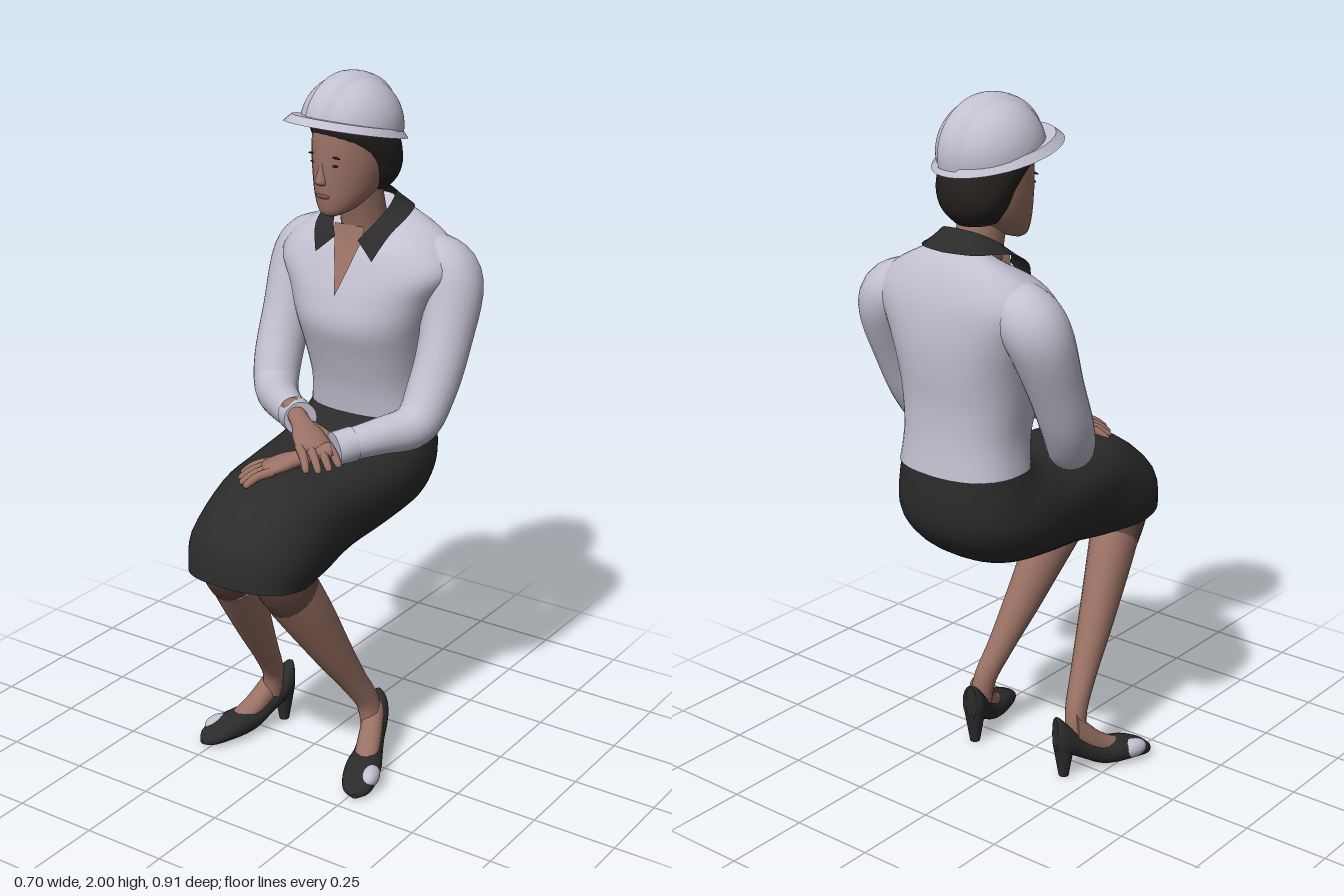
import * as THREE from 'three';

const mat = (name, color, side = THREE.FrontSide) => {
  const m = new THREE.MeshStandardMaterial({ color, side });
  m.name = name;
  return m;
};
const V = (x, y, z) => new THREE.Vector3(x, y, z);

// Catmull-Rom subdivision of rows of numbers
function smooth(rows, k) {
  const out = [], at = i => rows[Math.min(Math.max(i, 0), rows.length - 1)];
  for (let i = 0; i < rows.length - 1; i++)
    for (let j = 0; j < k; j++) {
      const t = j / k, a = at(i - 1), b = at(i), c = at(i + 1), d = at(i + 2);
      out.push(b.map((_, n) => b[n] + 0.5 * t * (c[n] - a[n] + t * (2 * a[n] - 5 * b[n] + 4 * c[n] - d[n]
        + t * (3 * (b[n] - c[n]) + d[n] - a[n])))));
    }
  out.push(rows[rows.length - 1]);
  return out;
}

// Skin a list of rings { c, u, v } (u x v points along the path) and cap both ends
function skinRings(rings, n, e = 1) {
  const pos = [], idx = [];
  const pw = a => Math.sign(a) * Math.abs(a) ** e;
  const addRing = r => {
    for (let j = 0; j < n; j++) {
      const a = j / n * Math.PI * 2;
      const p = r.c.clone().addScaledVector(r.u, pw(Math.cos(a))).addScaledVector(r.v, pw(Math.sin(a)));
      pos.push(p.x, p.y, p.z);
    }
  };
  rings.forEach(addRing);
  for (let i = 0; i < rings.length - 1; i++)
    for (let j = 0; j < n; j++) {
      const a = i * n + j, b = i * n + (j + 1) % n;
      idx.push(a, b, a + n, b, b + n, a + n);
    }
  for (const last of [false, true]) {
    const r = last ? rings[rings.length - 1] : rings[0], s = pos.length / 3;
    addRing(r);
    pos.push(r.c.x, r.c.y, r.c.z);
    for (let j = 0; j < n; j++) {
      const a = s + j, b = s + (j + 1) % n;
      idx.push(s + n, ...(last ? [a, b] : [b, a]));
    }
  }
  return finish(pos, idx);
}

function finish(pos, idx) {
  const g = new THREE.BufferGeometry();
  g.setAttribute('position', new THREE.Float32BufferAttribute(pos, 3));
  g.setIndex(idx);
  g.computeVertexNormals();
  return g;
}

// Rows [zBack, yBack, zFront, yFront, halfWidth], symmetric in x
const body = (rows, n = 28, e = 1, k = 4) => skinRings(smooth(rows, k).map(([za, ya, zb, yb, w]) => ({
  c: V(0, (ya + yb) / 2, (za + zb) / 2), u: V(0, (yb - ya) / 2, (zb - za) / 2), v: V(w, 0, 0),
})), n, e);

// Rows [x, y, z, sideRadius, upRadius] along a path
function limb(rows, n = 18, k = 5) {
  const pts = smooth(rows, k), p = pts.map(r => V(r[0], r[1], r[2]));
  let u;
  return skinRings(p.map((c, i) => {
    const t = p[Math.min(i + 1, p.length - 1)].clone().sub(p[Math.max(i - 1, 0)]).normalize();
    u = u || V(0, 1, 0).cross(t);
    u = u.clone().addScaledVector(t, -u.dot(t)).normalize();
    const a = pts[i][3], b = pts[i][4] ?? a;
    return { c, u: u.clone().multiplyScalar(a), v: t.clone().cross(u).multiplyScalar(b) };
  }), n);
}

// Open sheet between two rows of points
function strip(a, b) {
  const pos = [], idx = [];
  a.forEach((p, i) => {
    pos.push(...p, ...b[i]);
    const s = i * 2;
    if (i) idx.push(s - 2, s - 1, s, s - 1, s + 1, s);
  });
  return finish(pos, idx);
}

export function createModel() {
  const skin = mat('skin', 0x9a7164, THREE.DoubleSide), white = mat('pale cloth', 0xc3c0d0);
  const black = mat('black cloth', 0x2b2b2b, THREE.DoubleSide), hairMat = mat('hair', 0x25211f);
  const lipMat = mat('lips', 0x7d5048), kneeMat = mat('dark skin', 0x664a41);
  const model = new THREE.Group();
  const add = (parent, name, geo, m) => {
    const mesh = new THREE.Mesh(geo, m);
    mesh.name = name;
    parent.add(mesh);
    return mesh;
  };
  const group = (name, parent = model) => {
    const g = new THREE.Group();
    g.name = name;
    parent.add(g);
    return g;
  };
  const ball = (parent, name, m, p, s) => {
    const b = add(parent, name, new THREE.SphereGeometry(1, 20, 14), m);
    b.position.set(...p);
    b.scale.set(...s);
    return b;
  };

  // Clothes
  add(model, 'shirt', body([
    [-.45, 1.01, -.165, 1.01, .187], [-.44, 1.1, -.15, 1.1, .177], [-.438, 1.2, -.12, 1.2, .188],
    [-.447, 1.3, -.092, 1.29, .208], [-.448, 1.39, -.105, 1.37, .24], [-.436, 1.48, -.13, 1.44, .28],
    [-.412, 1.55, -.155, 1.5, .238], [-.382, 1.6, -.175, 1.53, .165], [-.35, 1.635, -.19, 1.535, .085],
  ], 40, .86), white);
  add(model, 'skirt', body([
    [.18, .66, .46, .705, .172], [.12, .655, .428, .83, .19], [0, .67, .27, .945, .195], [-.15, .69, .1, .967, .213],
    [-.3, .72, -.05, .98, .225], [-.4, .79, -.1, .99, .222], [-.448, .88, -.13, 1.0, .205], [-.447, 1.02, -.17, 1.02, .18],
  ], 36, .85), black);
  const vRows = [[0, 1.385, -.095], [.02, 1.45, -.126], [.035, 1.5, -.147], [.045, 1.535, -.163], [.05, 1.575, -.172]];
  add(model, 'openNeckline', strip(vRows.map(([x, y, z]) => [-x, y, z]), vRows), skin);
  const inner = smooth([[0, 1.665, -.335], [.06, 1.655, -.315], [.078, 1.62, -.25], [.065, 1.58, -.19], [.038, 1.54, -.155]], 4);
  const outer = smooth([[0, 1.61, -.387], [.09, 1.61, -.365], [.132, 1.603, -.28], [.124, 1.56, -.185], [.094, 1.49, -.14]], 4);
  for (const s of [-1, 1]) {
    const flip = rows => rows.map(([x, y, z]) => [s * x, y, z]);
    add(model, 'collar', strip(flip(inner), flip(outer)), black);
  }

  // Arms: shared upper arm, individual forearms
  const upper = [[.1, 1.47, -.3, .07], [.2, 1.463, -.312, .087], [.255, 1.41, -.31, .09],
    [.269, 1.26, -.255, .076], [.264, 1.13, -.195, .071]];
  const forearms = {
    right: [[-.23, 1.053, -.138, .064], [-.125, 1.055, -.033, .052], [-.015, 1.066, .055, .043]],
    left: [[.253, 1.046, -.125, .064], [.2, 1.032, -.02, .052], [.135, 1.018, .082, .043]],
  };
  const hands = {
    right: { p: [.012, 1.062, .085], yaw: 1.0, pitch: .38, thumb: 1 },
    left: { p: [.068, .995, .16], yaw: -.88, pitch: .24, thumb: -1 },
  };
  for (const side of ['right', 'left']) {
    const s = side === 'left' ? 1 : -1, fore = forearms[side];
    add(model, side + 'Sleeve', limb([...upper.map(([x, ...r]) => [s * x, ...r]), ...fore], 22), white);
    const end = V(...fore[2]), dir = end.clone().sub(V(...fore[1])).normalize();
    const near = end.clone().addScaledVector(dir, -.045), far = end.clone().addScaledVector(dir, .012);
    add(model, side + 'Cuff', limb([[...near.toArray(), .05], [...far.toArray(), .048]], 18, 1), white);

    // Hand points along local z with its back up
    const h = hands[side], hand = group(side + 'Hand');
    hand.position.set(...h.p);
    hand.rotation.set(h.pitch, h.yaw, 0, 'YXZ');
    add(hand, 'palm', limb([[0, .005, -.085, .027, .022], [0, .004, 0, .03, .022], [0, .004, .05, .046, .022],
      [0, 0, .1, .05, .017], [0, -.003, .112, .038, .01]]), skin);
    for (let i = 0; i < 4; i++) {
      const x = (i - 1.5) * .026, l = .088 - Math.abs(i - 1.4) * .009;
      add(hand, 'finger', limb([[x, 0, .085, .0135], [x * 1.12, 0, .1 + l * .4, .0125],
        [x * 1.25, -.014, .1 + l * .9, .01], [x * 1.27, -.018, .1 + l, .003]], 10, 4), skin);
    }
    add(hand, 'thumb', limb([[h.thumb * .025, -.003, .01, .017], [h.thumb * .055, -.006, .05, .014],
      [h.thumb * .067, -.012, .1, .009], [h.thumb * .068, -.014, .108, .003]], 10, 4), skin);
  }

  // Legs and shoes
  for (const s of [-1, 1]) {
    const side = s > 0 ? 'left' : 'right';
    const knee = [s * .099, .63, .252, .071, .084];
    add(model, side + 'Knee', limb([[s * .09, .78, .335, .073, .088], [s * .094, .69, .29, .074, .09], knee]), kneeMat);
    add(model, side + 'Leg', limb([knee, [s * .115, .54, .195, .063, .076],
      [s * .136, .4, .108, .05, .058], [s * .155, .28, .03, .038, .042], [s * .171, .19, -.025, .032, .036],
      [s * .18, .11, -.035, .03, .033]]), skin);
    const shoe = group(side + 'Shoe');
    shoe.position.set(s * .163, 0, -.095);
    shoe.rotation.y = s * .36;
    add(shoe, 'foot', body([[.215, .02, .215, .065, .03], [.15, .03, .15, .1, .035], [.1, .05, .1, .145, .034],
      [.05, .08, .05, .2, .03]], 18), skin);
    add(shoe, 'shoeUpper', body([
      [.315, .006, .315, .02, .01], [.29, .002, .29, .042, .04], [.235, .002, .235, .066, .052], [.18, .003, .18, .078, .051],
      [.13, .012, .13, .084, .043], [.075, .042, .075, .115, .037], [.03, .066, .03, .158, .037], [0, .075, 0, .19, .032],
      [-.014, .085, -.014, .192, .016]], 20, .9), black);
    const heel = add(shoe, 'heel', new THREE.CylinderGeometry(.032, .015, .1, 14), black);
    heel.position.set(0, .05, .016);
    ball(shoe, 'toeOrnament', white, [s * .029, .039, .236], [.028, .028, .048]);
  }

  // Neck and head, turned slightly to the side
  add(model, 'neck', body([[-.34, 1.56, -.18, 1.48, .066], [-.315, 1.61, -.175, 1.56, .062], [-.29, 1.72, -.14, 1.68, .057]]), skin);
  const head = group('head');
  head.position.set(-.015, 0, -.21);
  head.rotation.y = -.2;
  add(head, 'face', body([[.045, 1.618, .093, 1.606, .022], [-.01, 1.64, .113, 1.618, .052], [-.07, 1.675, .122, 1.66, .078],
    [-.11, 1.73, .126, 1.72, .094], [-.12, 1.78, .127, 1.78, .1], [-.12, 1.85, .122, 1.85, .1], [-.1, 1.92, .1, 1.92, .08]]), skin);
  add(head, 'hair', body([[-.1, 1.665, .01, 1.68, .07], [-.132, 1.7, .03, 1.72, .1], [-.147, 1.75, .055, 1.76, .113],
    [-.144, 1.8, .12, 1.835, .116], [-.115, 1.84, .128, 1.875, .108]]), hairMat);
  add(head, 'nose', body([[.1, 1.7, .134, 1.7, .016], [.1, 1.709, .144, 1.711, .017], [.1, 1.74, .134, 1.74, .011],
    [.1, 1.775, .126, 1.775, .008]], 14), skin);
  ball(head, 'mouth', lipMat, [0, 1.668, .118], [.026, .008, .008]);
  for (const s of [-1, 1]) {
    ball(head, 'eye', hairMat, [s * .04, 1.758, .112], [.013, .004, .006]);
    const brow = ball(head, 'eyebrow', hairMat, [s * .042, 1.782, .113], [.02, .003, .005]);
    brow.rotation.z = -s * .12;
  }

  // Hard hat: half dome with a raised centre ridge on a tilted brim
  const hat = group('hardHat', head);
  hat.position.set(0, 1.85, .005);
  hat.rotation.x = -.21;
  const dome = new THREE.SphereGeometry(1, 32, 40, 0, Math.PI).rotateX(-Math.PI / 2).rotateY(Math.PI / 2);
  const dp = dome.attributes.position;
  for (let i = 0; i < dp.count; i++) {
    const k = Math.abs(dp.getX(i)) < .24 ? 1.05 : 1;
    dp.setXYZ(i, dp.getX(i), dp.getY(i) * k, dp.getZ(i) * k);
  }
  dome.scale(.14, .143, .15);
  dome.computeVertexNormals();
  add(hat, 'dome', dome, white);
  const brim = add(hat, 'brim', new THREE.CylinderGeometry(.142, .16, .022, 40), white);
  brim.position.set(0, -.002, .021);
  brim.scale.z = 1.18;
  return model;
}
